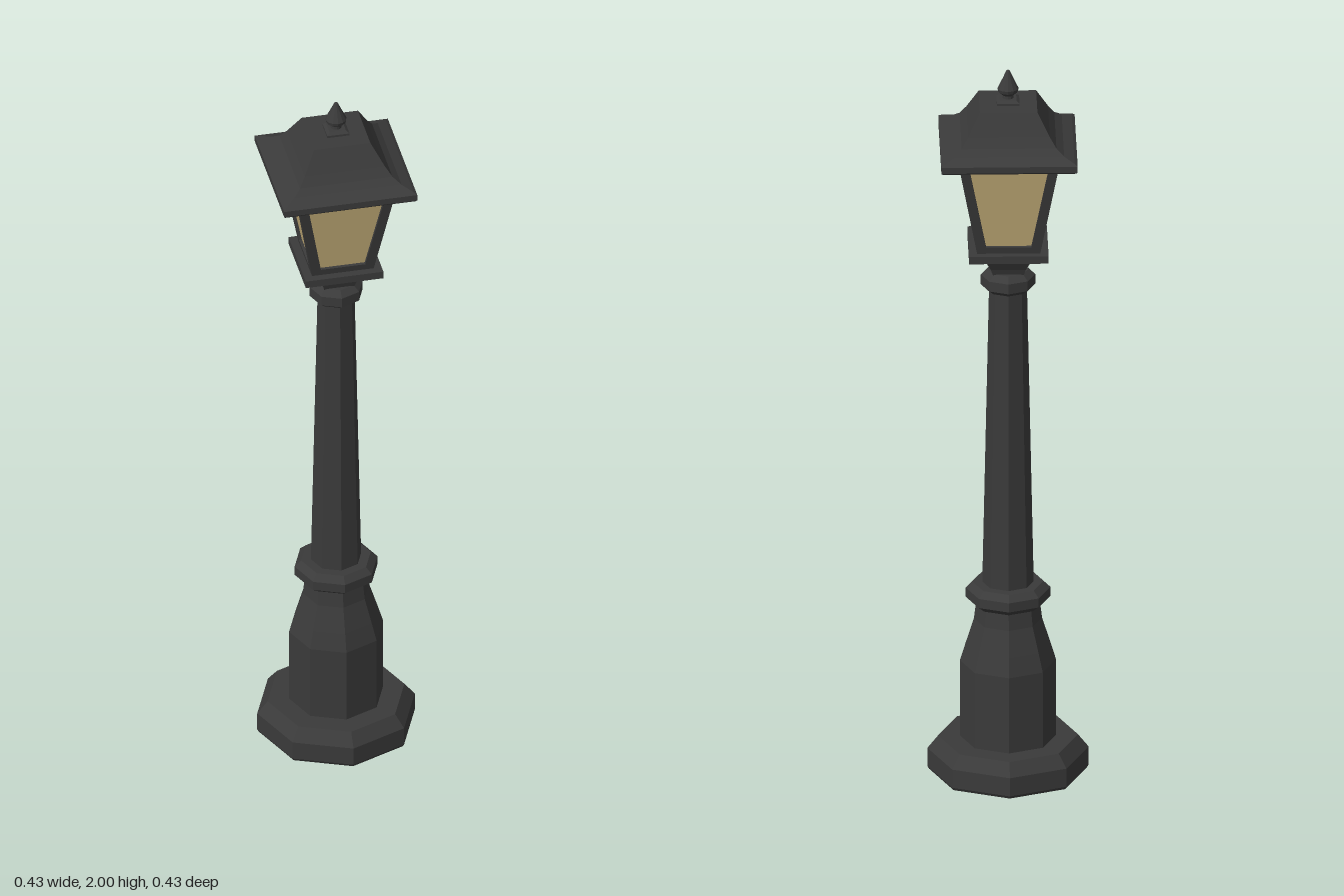
import * as THREE from 'three';

const iron = new THREE.MeshStandardMaterial({ color: 0x3a3a3a });
iron.name = 'dark iron';
const glass = new THREE.MeshStandardMaterial({ color: 0xc4ad78 });
glass.name = 'warm glass';

function faceted(geometry) {
  const g = geometry.toNonIndexed();
  g.computeVertexNormals();
  return g;
}

// Solid turned from [radius, height] pairs, listed bottom to top.
function turned(name, sides, profile, material = iron) {
  const square = sides === 4;
  const k = square ? Math.SQRT2 : 1; // for squares the radius is the half width
  const points = profile.map(([r, y]) => new THREE.Vector2(r * k, y));
  const geometry = new THREE.LatheGeometry(points, sides, square ? Math.PI / 4 : 0);
  const mesh = new THREE.Mesh(faceted(geometry), material);
  mesh.name = name;
  return mesh;
}

// Closed four-sided outline, symmetric about x = 0.
function trapezoid(path, bottomHalf, topHalf, y0, y1) {
  path.moveTo(-bottomHalf, y0);
  path.lineTo(bottomHalf, y0);
  path.lineTo(topHalf, y1);
  path.lineTo(-topHalf, y1);
  path.closePath();
  return path;
}

export function createModel() {
  const lamp = new THREE.Group();
  lamp.name = 'streetLamp';

  // Octagonal post
  lamp.add(
    turned('base', 8, [[0, 0], [0.208, 0], [0.213, 0.008], [0.213, 0.06], [0.185, 0.095], [0, 0.095]]),
    turned('pedestal', 8, [[0.127, 0.09], [0.127, 0.31], [0.112, 0.36], [0.09, 0.43], [0.084, 0.48]]),
    turned('lowerCollar', 8, [[0, 0.475], [0.09, 0.475], [0.112, 0.492], [0.112, 0.518], [0.094, 0.535], [0, 0.535]]),
    turned('shaft', 8, [[0.068, 0.53], [0.05, 1.385]]),
    turned('upperCollar', 8, [[0, 1.373], [0.055, 1.373], [0.072, 1.386], [0.072, 1.414], [0.055, 1.43], [0, 1.43]])
  );

  // Square lantern support
  lamp.add(
    turned('neck', 4, [[0.04, 1.425], [0.046, 1.445], [0.068, 1.49]]),
    turned('lanternFloor', 4, [[0, 1.487], [0.105, 1.487], [0.105, 1.508], [0, 1.508]])
  );

  // Four flared window frames around a glass body
  const y0 = 1.505, y1 = 1.78, half0 = 0.083, half1 = 0.133;
  const slope = Math.hypot(y1 - y0, half1 - half0);
  const tilt = Math.atan2(half1 - half0, y1 - y0);
  const outline = trapezoid(new THREE.Shape(), half0, half1, 0, slope);
  outline.holes.push(trapezoid(new THREE.Path(), 0.06, 0.103, 0.022, slope - 0.025));
  const frame = new THREE.ExtrudeGeometry(outline, { depth: 0.014, bevelEnabled: false });
  frame.translate(0, 0, -0.014);
  frame.rotateX(tilt);
  frame.translate(0, y0, half0);
  for (let i = 0; i < 4; i++) {
    const mesh = new THREE.Mesh(frame, iron);
    mesh.name = 'windowFrame';
    mesh.rotation.y = (i * Math.PI) / 2;
    lamp.add(mesh);
  }
  lamp.add(turned('glassPanes', 4, [[half0 - 0.008, y0], [half1 - 0.008, y1]], glass));

  // Roof with a swept brim
  lamp.add(turned('roof', 4, [
    [0, 1.774], [0.177, 1.774], [0.18, 1.778], [0.18, 1.795], [0.172, 1.8],
    [0.145, 1.81], [0.125, 1.825], [0.108, 1.85], [0.076, 1.908], [0, 1.908]
  ]));

  // Finial
  lamp.add(
    turned('finialBase', 4, [[0, 1.905], [0.03, 1.905], [0.03, 1.914], [0.022, 1.92], [0, 1.92]]),
    turned('finial', 12, [[0.015, 1.915], [0.014, 1.928], [0.026, 1.938], [0.028, 1.947], [0.013, 1.978], [0.005, 1.996], [0, 2]])
  );
  return lamp;
}
